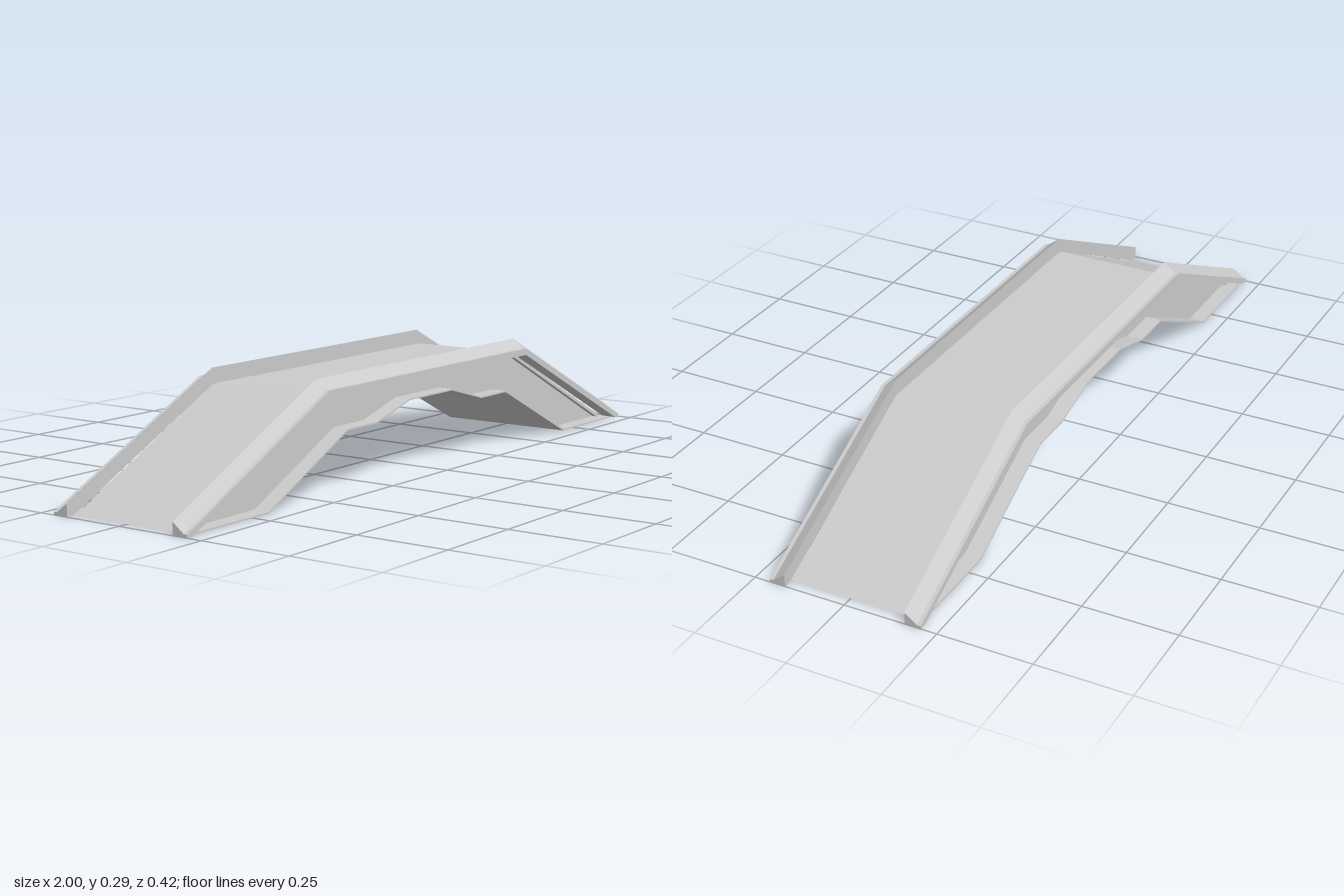
import * as THREE from 'three';

const material = new THREE.MeshStandardMaterial({ color: 0xcccccc, flatShading: true, side: THREE.DoubleSide });

// Mirror a right-hand half outline (running centre to end) into a full left-to-right line
const mirrorLine = (half) => [...half.map(([x, y]) => [-x, y]).reverse(), ...half];

// Extrude a side outline across the bridge between -halfWidth and +halfWidth
function acrossBridge(name, outline, halfWidth) {
  const shape = new THREE.Shape(outline.map(([x, y]) => new THREE.Vector2(x, y)));
  const geometry = new THREE.ExtrudeGeometry(shape, { depth: halfWidth * 2, bevelEnabled: false });
  geometry.translate(0, 0, -halfWidth);
  const mesh = new THREE.Mesh(geometry, material);
  mesh.name = name;
  return mesh;
}

// Loft the wedge-shaped kerb along its bent path; side is +1 (front) or -1 (back)
function kerb(name, side) {
  // x, bottom height, base height of the sloped upper profile
  const stations = mirrorLineStations([[0.46, 0.25, 0.26], [0.98, 0, 0.0096], [1, 0, 0]]);
  const rings = stations.map(([x, bottom, base]) => [
    [0.165, bottom], [0.208, bottom], [0.208, base + 0.008], [0.198, base + 0.008], [0.165, base + 0.033],
  ].map(([z, y]) => [x, y, z * side]));
  const positions = [];
  const triangle = (a, b, c) => positions.push(...a, ...(side > 0 ? b : c), ...(side > 0 ? c : b));
  const count = rings[0].length;
  for (let i = 0; i < rings.length - 1; i++) {
    for (let j = 0; j < count; j++) {
      const k = (j + 1) % count;
      triangle(rings[i][j], rings[i + 1][j], rings[i + 1][k]);
      triangle(rings[i][j], rings[i + 1][k], rings[i][k]);
    }
  }
  // End caps, fanned from the outer upper corner of the section
  const first = rings[0], last = rings[rings.length - 1];
  for (const [a, b] of [[4, 0], [0, 1], [1, 2]]) {
    triangle(first[3], first[a], first[b]);
    triangle(last[3], last[b], last[a]);
  }
  const geometry = new THREE.BufferGeometry();
  geometry.setAttribute('position', new THREE.Float32BufferAttribute(positions, 3));
  geometry.computeVertexNormals();
  const mesh = new THREE.Mesh(geometry, material);
  mesh.name = name;
  return mesh;
}

function mirrorLineStations(half) {
  return [...half.map(([x, ...rest]) => [-x, ...rest]).reverse(), ...half];
}

export function createModel() {
  const group = new THREE.Group();
  group.name = 'archedBridge';

  const underside = mirrorLine([[0.1, 0.195], [0.245, 0.155], [0.37, 0.155], [0.69, 0], [0.97, 0]]);
  const deckLine = mirrorLine([[0.46, 0.254], [0.97, 0]]);

  // Solid core with the walking deck on top and recessed side panels
  group.add(acrossBridge('body', [...underside, ...deckLine.slice(1, -1).reverse()], 0.154));

  // Narrow shelf joining the deck to the kerbs
  const shelfTop = mirrorLine([[0.459, 0.25], [0.965, 0]]);
  const shelfBottom = mirrorLine([[0.457, 0.242], [0.945, 0]]);
  group.add(acrossBridge('deckShelf', [...shelfBottom, ...shelfTop.reverse()], 0.167));

  // Thin flange standing out along the lower edge of both sides
  const flangeTop = mirrorLine([[0.1, 0.199], [0.245, 0.159], [0.371, 0.159], [0.691, 0.004], [0.962, 0.004]]);
  group.add(acrossBridge('bottomFlange', [...underside, ...flangeTop.reverse()], 0.198));

  // Raised kerbs along both edges
  group.add(kerb('frontKerb', 1), kerb('backKerb', -1));
  return group;
}
